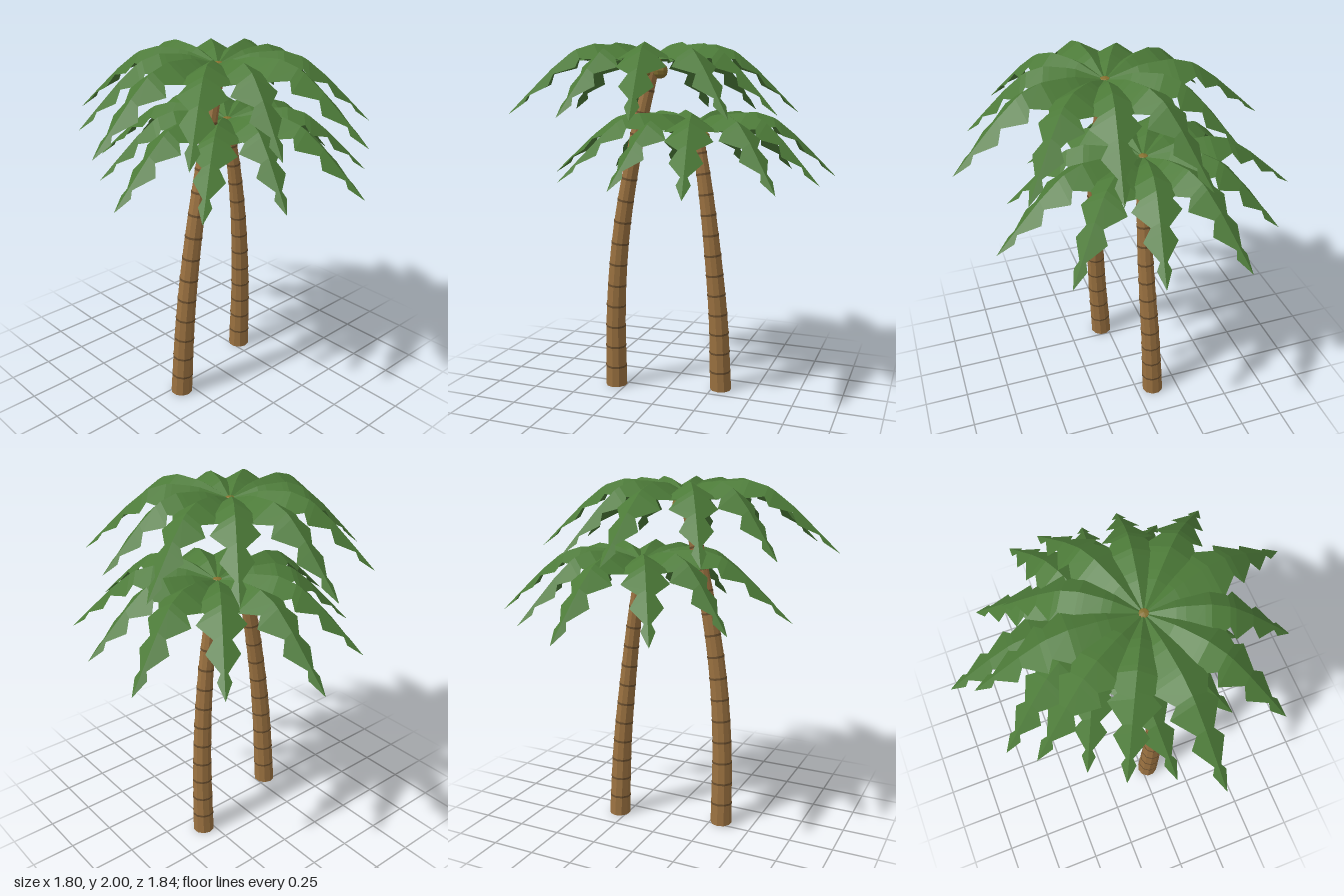
import * as THREE from 'three';

const mat = (name, color) => {
  const m = new THREE.MeshStandardMaterial({ color });
  m.name = name;
  m.flatShading = true;
  return m;
};

// Midrib as [fraction of length, height above crown origin]
const RIB = [[0, 0.03], [0.1, 0.06], [0.2, 0.085], [0.3, 0.098], [0.42, 0.1], [0.54, 0.07],
  [0.64, 0.02], [0.76, -0.075], [0.88, -0.17], [1, -0.268]];
// Serrated half width along the leaf: wide points with notches between them
const EDGE = [[0, 0.01], [0.2, 0.1], [0.26, 0.15], [0.38, 0.1], [0.42, 0.145], [0.54, 0.08],
  [0.58, 0.125], [0.705, 0.045], [0.75, 0.085], [0.87, 0.018], [0.9, 0.036], [1, 0]];

function ribHeight(s) {
  let i = 1;
  while (i < RIB.length - 1 && RIB[i][0] < s) i++;
  const [s0, y0] = RIB[i - 1], [s1, y1] = RIB[i];
  return y0 + (y1 - y0) * (s - s0) / (s1 - s0);
}

// A leaf along +x, folded down on both sides of the midrib
function frondGeometry(length) {
  const pos = [], index = [];
  for (const [s, w] of EDGE) {
    const x = s * length, y = ribHeight(s);
    pos.push(x, y - w * 0.6, -w, x, y, 0, x, y - w * 0.6, w);
  }
  for (let i = 0; i < EDGE.length - 1; i++) {
    for (let j = 0; j < 2; j++) {
      const a = i * 3 + j, b = a + 1, c = a + 3, d = a + 4;
      index.push(a, b, c, b, d, c);
    }
  }
  const g = new THREE.BufferGeometry();
  g.setAttribute('position', new THREE.Float32BufferAttribute(pos, 3));
  g.setIndex(index);
  g.computeVertexNormals();
  return g;
}

// Wrap an upright geometry (y from 0 to 1) along a curve
function bend(geometry, curve) {
  const p = geometry.attributes.position, up = new THREE.Vector3(0, 1, 0);
  const q = new THREE.Quaternion(), v = new THREE.Vector3();
  for (let i = 0; i < p.count; i++) {
    const t = THREE.MathUtils.clamp(p.getY(i), 0, 1);
    q.setFromUnitVectors(up, t < 0.01 ? up : curve.getTangentAt(t));
    v.set(p.getX(i), 0, p.getZ(i)).applyQuaternion(q).add(curve.getPointAt(t));
    p.setXYZ(i, v.x, v.y, v.z);
  }
  geometry.computeVertexNormals();
  return geometry;
}

export function createModel() {
  const model = new THREE.Group();
  const bark = mat('bark brown', 0x9a7140);
  const ringMat = mat('ring brown', 0x6b4f2e);
  const leaf = mat('leaf green', 0x4c7a38);
  leaf.side = THREE.DoubleSide;
  const husk = mat('husk olive', 0x857030);

  const add = (parent, name, geometry, material) => {
    const m = new THREE.Mesh(geometry, material);
    m.name = name;
    parent.add(m);
    return m;
  };

  function palm(name, path, crownAt, segments) {
    const tree = new THREE.Group();
    tree.name = name;
    model.add(tree);

    // Curved, tapering trunk with raised rings
    const curve = new THREE.CatmullRomCurve3(path.map((p) => new THREE.Vector3(...p)));
    const trunk = new THREE.CylinderGeometry(0.035, 0.063, 1, 10, segments).translate(0, 0.5, 0);
    add(tree, 'trunk', bend(trunk, curve), bark);
    const h = 0.012 / curve.getLength();
    for (let i = 1; i < segments; i++) {
      const t = i / segments, r = THREE.MathUtils.lerp(0.063, 0.035, t) + 0.002;
      const ring = new THREE.CylinderGeometry(r, r, h, 10).translate(0, t, 0);
      add(tree, 'trunkRing', bend(ring, curve), ringMat);
    }

    // Crown of eleven leaves in three repeating lengths
    const crown = new THREE.Group();
    crown.name = 'crown';
    crown.position.set(...crownAt);
    tree.add(crown);
    const lengths = [0.8, 0.735, 0.863];
    for (let i = 0; i < 11; i++) {
      const frond = add(crown, 'frond', frondGeometry(lengths[i % 3]), leaf);
      frond.rotation.y = 0.38 + i * Math.PI * 2 / 11;
    }

    // Bud and nuts under the leaves
    add(crown, 'bud', new THREE.SphereGeometry(0.045, 8, 6), husk);
    for (let i = 0; i < 3; i++) {
      const a = 0.5 + i * Math.PI * 2 / 3;
      const nut = add(crown, 'nut', new THREE.SphereGeometry(0.043, 8, 6), husk);
      nut.position.set(Math.cos(a) * 0.05, -0.04, Math.sin(a) * 0.05);
    }
  }

  palm('tallPalm', [[-0.312, 0, 0.04], [-0.297, 0.5, 0.067], [-0.252, 0.95, 0.083],
    [-0.16, 1.45, 0.085], [-0.057, 1.88, 0.075]], [-0.05, 1.9, 0.07], 15);
  palm('shortPalm', [[0.3, 0, -0.102], [0.285, 0.45, -0.082], [0.245, 0.9, -0.063],
    [0.2, 1.25, -0.06], [0.152, 1.52, -0.065]], [0.15, 1.533, -0.07], 13);
  return model;
}
